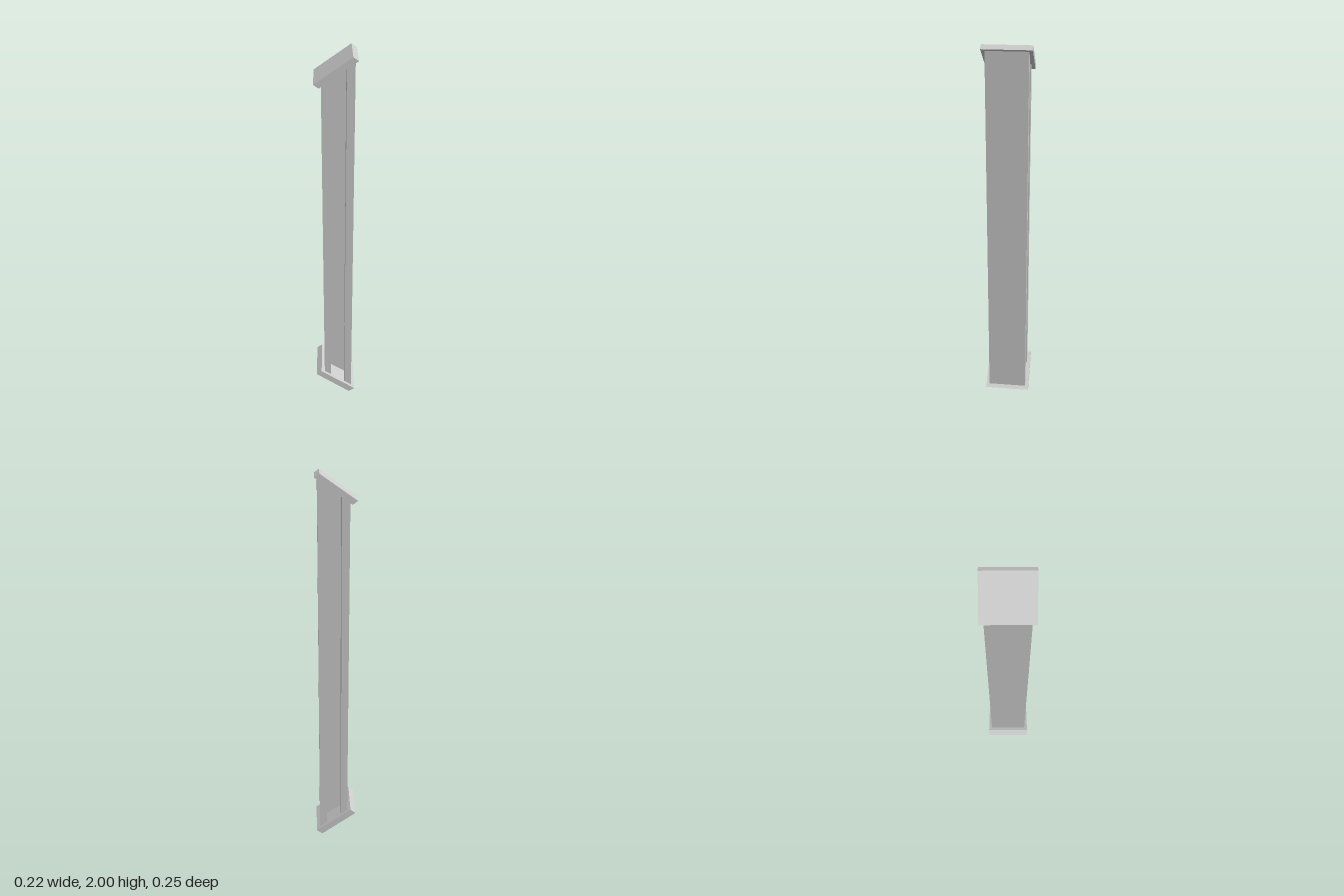
import * as THREE from 'three';

const material = new THREE.MeshStandardMaterial({ color: 0xcccccc, flatShading: true });

// Side outline in x/y, extruded symmetrically along z
function slab(name, points, depth) {
  const shape = new THREE.Shape(points.map(([x, y]) => new THREE.Vector2(x, y)));
  const geometry = new THREE.ExtrudeGeometry(shape, { depth, bevelEnabled: false });
  geometry.translate(0, 0, -depth / 2);
  const mesh = new THREE.Mesh(geometry, material);
  mesh.name = name;
  return mesh;
}

// Heights of the sloping plate faces that the beam meets
const lower = (x) => 0.155 - 0.695 * (x + 0.082);
const upper = (x) => 1.855 + 0.69 * (x + 0.079);

// Upright between two x positions, mitred to the sloping plates
function upright(name, x0Bottom, x0Top, x1, depth) {
  return slab(name, [
    [x0Bottom, lower(x0Bottom)], [x1, lower(x1)],
    [x1, upper(x1)], [x0Top, upper(x0Top)],
  ], depth);
}

export function createModel() {
  const group = new THREE.Group();
  group.name = 'mitredBeam';

  // I-section: two flanges joined by a thin web
  group.add(upright('rightFlange', -0.064, -0.069, -0.028, 0.21));
  group.add(upright('leftFlange', 0.051, 0.051, 0.091, 0.21));
  group.add(upright('web', -0.028, -0.028, 0.051, 0.028));

  // Sloping end plates
  group.add(slab('topPlate', [
    [-0.105, 1.873], [-0.079, 1.855], [0.105, 1.982], [0.079, 2],
  ], 0.246));
  group.add(slab('bottomPlate', [
    [-0.11, 0.133], [0.078, 0], [0.11, 0.022], [-0.082, 0.155],
  ], 0.246));

  return group;
}
